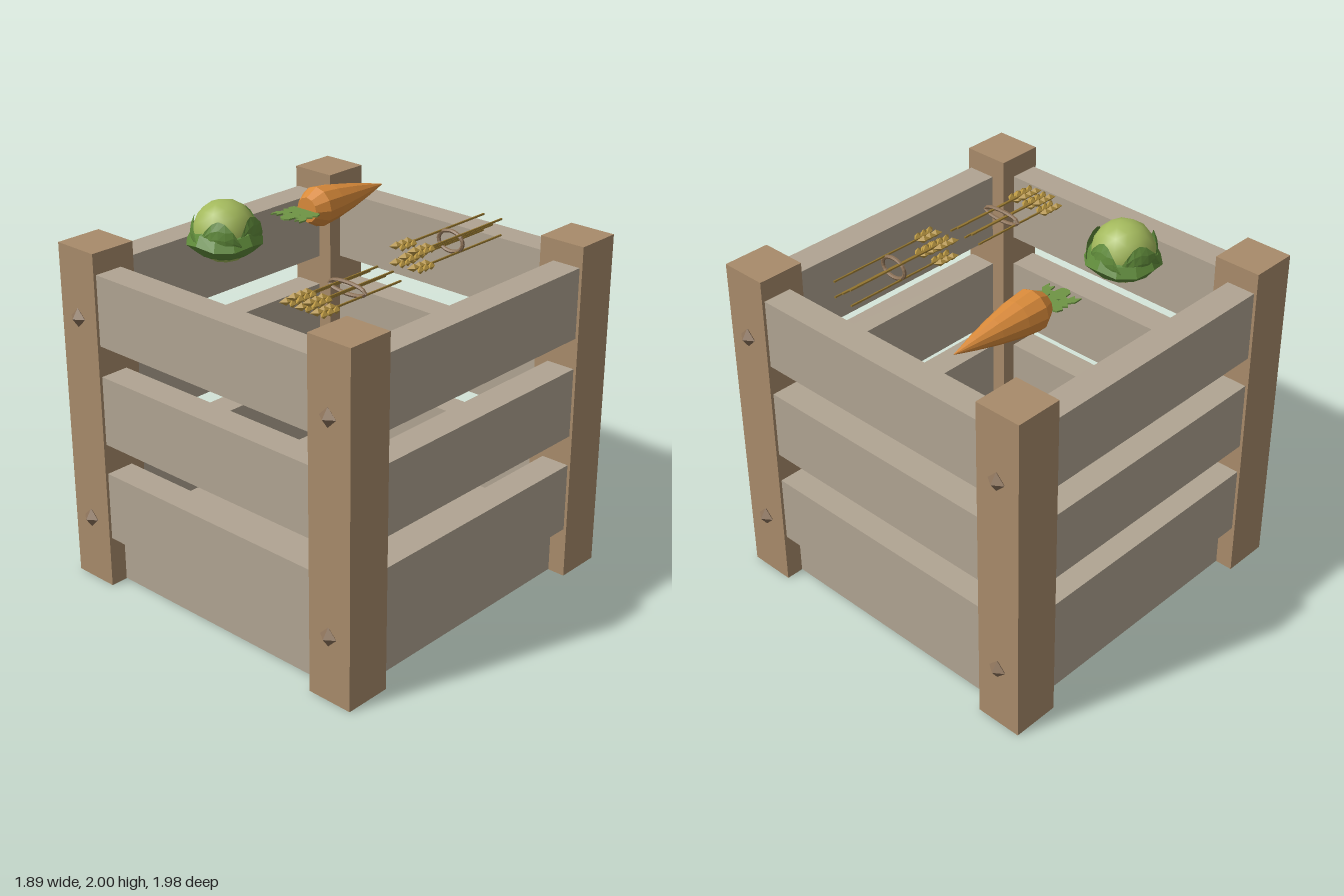
import * as THREE from 'three';

const mat = (name, color, side = THREE.FrontSide) => {
  const m = new THREE.MeshStandardMaterial({ color, side });
  m.name = name;
  return m;
};
const postWood = mat('post wood', 0xa88b6a);
const slatWood = mat('slat wood', 0xb0a492);
const studMetal = mat('stud', 0x8a7159);
const coreGreen = mat('light green', 0xa3b95c);
const leafGreen = mat('leaf green', 0x5f8a3a, THREE.DoubleSide);
const topGreen = mat('carrot top green', 0x6f9445);
const carrotOrange = mat('carrot orange', 0xd98a3a);
const straw = mat('straw gold', 0xbd9a45);
const stemBrown = mat('stem', 0x92742f);
const ropeBrown = mat('rope', 0x8b7055);

// Gives every face its own normal for the low-poly look
function flat(geometry) {
  const g = geometry.index ? geometry.toNonIndexed() : geometry;
  g.computeVertexNormals();
  return g;
}

function add(parent, name, geometry, material, x = 0, y = 0, z = 0) {
  const mesh = new THREE.Mesh(geometry, material);
  mesh.name = name;
  mesh.position.set(x, y, z);
  parent.add(mesh);
  return mesh;
}

function group(parent, name, x = 0, y = 0, z = 0) {
  const g = new THREE.Group();
  g.name = name;
  g.position.set(x, y, z);
  parent.add(g);
  return g;
}

function buildCrate(parent) {
  const crate = group(parent, 'crate');
  add(crate, 'base', new THREE.BoxGeometry(1.7, 0.268, 1.7), slatWood, 0, 0.136, 0);
  const stud = new THREE.OctahedronGeometry(0.05).scale(1, 1, 0.7);
  for (const sx of [-1, 1]) {
    for (const sz of [-1, 1]) {
      add(crate, 'cornerPost', new THREE.BoxGeometry(0.25, 1.8, 0.25), postWood, sx * 0.82, 0.9, sz * 0.82);
      for (const y of [0.352, 1.447]) add(crate, 'stud', stud, studMetal, sx * 0.82, y, sz * 0.953);
    }
  }
  for (const y of [0.452, 0.98, 1.508]) {
    for (const s of [-1, 1]) {
      add(crate, 'slat', new THREE.BoxGeometry(1.42, 0.366, 0.155), slatWood, 0, y, s * 0.852);
      add(crate, 'sideSlat', new THREE.BoxGeometry(0.155, 0.366, 1.42), slatWood, s * 0.852, y, 0);
    }
  }
}

// Curved leaf hugging a ball, wide at the foot and rounded at the top
function cabbageLeaf(radius, spread, low, high) {
  const g = new THREE.PlaneGeometry(2, 1, 6, 3);
  const p = g.attributes.position;
  for (let i = 0; i < p.count; i++) {
    const u = p.getX(i), v = p.getY(i) + 0.5;
    const lift = low + (high - low) * v * (1 - u * u * 0.9);
    const a = u * spread;
    const r = radius + 0.012 * u + 0.008 * v;
    p.setXYZ(i, Math.sin(a) * Math.cos(lift) * r, Math.sin(lift) * r, Math.cos(a) * Math.cos(lift) * r);
  }
  return flat(g);
}

function buildCabbage(parent) {
  const cabbage = group(parent, 'cabbage', -0.385, 1.71, 0.38);
  add(cabbage, 'heart', new THREE.IcosahedronGeometry(0.155, 2), coreGreen, 0, 0.135, 0);
  // Outer leaves: a faceted bowl with an uneven rim
  const profile = [[0, 0], [0.07, 0.004], [0.14, 0.04], [0.19, 0.09], [0.165, 0.14], [0.145, 0.15]];
  const bowl = new THREE.LatheGeometry(profile.map(([r, y]) => new THREE.Vector2(r, y)), 12);
  const p = bowl.attributes.position;
  for (let i = 0; i < p.count; i++) {
    const a = Math.atan2(p.getX(i), p.getZ(i));
    if (p.getY(i) > 0.08) p.setY(i, p.getY(i) + 0.012 * Math.cos(a * 4));
  }
  add(cabbage, 'outerLeaves', flat(bowl), leafGreen);
  for (let i = 0; i < 5; i++) {
    const leaf = add(cabbage, 'innerLeaf', cabbageLeaf(0.165, 0.66, -0.15, 0.62), leafGreen, 0, 0.125, 0);
    leaf.rotation.y = (i / 5) * Math.PI * 2 + 0.6;
  }
}

function buildCarrot(parent) {
  const carrot = group(parent, 'carrot', -0.385, 1.805, -0.19);
  const profile = [[0, 0], [0.065, 0], [0.104, 0.07], [0.092, 0.18], [0.065, 0.32], [0.034, 0.45], [0, 0.575]];
  const root = flat(new THREE.LatheGeometry(profile.map(([r, y]) => new THREE.Vector2(r, y)), 12));
  add(carrot, 'root', root, carrotOrange).rotation.x = -Math.PI / 2;
  // Jagged half outline of the leafy top, mirrored
  const half = [[0.06, -0.01], [0.09, 0.0], [0.1, 0.03], [0.08, 0.045], [0.1, 0.065], [0.078, 0.085], [0.1, 0.11],
    [0.098, 0.16], [0.078, 0.135], [0.062, 0.155], [0.055, 0.115], [0.035, 0.12], [0.03, 0.16], [0.012, 0.175]];
  const outline = [...half, ...half.map(([x, y]) => [-x, y]).reverse()];
  const shape = new THREE.Shape(outline.map(([x, y]) => new THREE.Vector2(x, y)));
  for (const s of [-1, 1]) {
    shape.holes.push(new THREE.Path([[0.02, 0.075], [0.034, 0.09], [0.034, 0.072]].map(([x, y]) => new THREE.Vector2(s * x, y))));
  }
  const top = new THREE.ExtrudeGeometry(shape, { depth: 0.008, bevelEnabled: false });
  add(carrot, 'leafyTop', top, topGreen, 0, 0, 0).rotation.x = Math.PI / 2;
}

// One stalk along z, its ear of paired grains pointing to +z
function buildStalk(parent, x, y, length) {
  const stalk = group(parent, 'stalk', x, y, 0);
  const stem = flat(new THREE.CylinderGeometry(0.006, 0.006, length + 0.08, 5));
  add(stalk, 'stem', stem, stemBrown, 0, 0, -length / 2 + 0.04).rotation.x = Math.PI / 2;
  const grain = new THREE.OctahedronGeometry(1).scale(0.017, 0.021, 0.036);
  for (let i = 0; i < 3; i++) {
    for (const s of [-1, 1]) {
      add(stalk, 'grain', grain, straw, s * 0.021, 0, 0.03 + i * 0.04).rotation.y = s * 0.42;
    }
  }
}

function buildWheat(parent, x, z, length, stalks, tie) {
  const bundle = group(parent, 'wheatBundle', x, 0, z);
  for (const [sx, sy] of stalks) buildStalk(bundle, sx, sy, length);
  // Rope loop round the stems
  const points = [];
  for (let i = 0; i < 12; i++) {
    const a = (i / 12) * Math.PI * 2;
    points.push(new THREE.Vector3(Math.cos(a) * tie.w, tie.y + Math.sin(a) * tie.h, 0));
  }
  const loop = new THREE.CatmullRomCurve3(points, true);
  add(bundle, 'rope', flat(new THREE.TubeGeometry(loop, 24, 0.01, 6, true)), ropeBrown, 0, 0, tie.z);
}

export function createModel() {
  const model = new THREE.Group();
  model.name = 'producecrate';
  buildCrate(model);
  buildCabbage(model);
  buildCarrot(model);
  buildWheat(model, 0.378, -0.19, 0.53,
    [[-0.056, 1.731], [0.056, 1.731], [0, 1.773], [-0.056, 1.815], [0.056, 1.815]],
    { w: 0.075, h: 0.052, y: 1.773, z: -0.205 });
  buildWheat(model, 0.384, 0.52, 0.43,
    [[-0.096, 1.731], [0, 1.731], [0.096, 1.731], [-0.048, 1.765], [0.048, 1.765]],
    { w: 0.112, h: 0.028, y: 1.747, z: -0.167 });
  return model;
}
